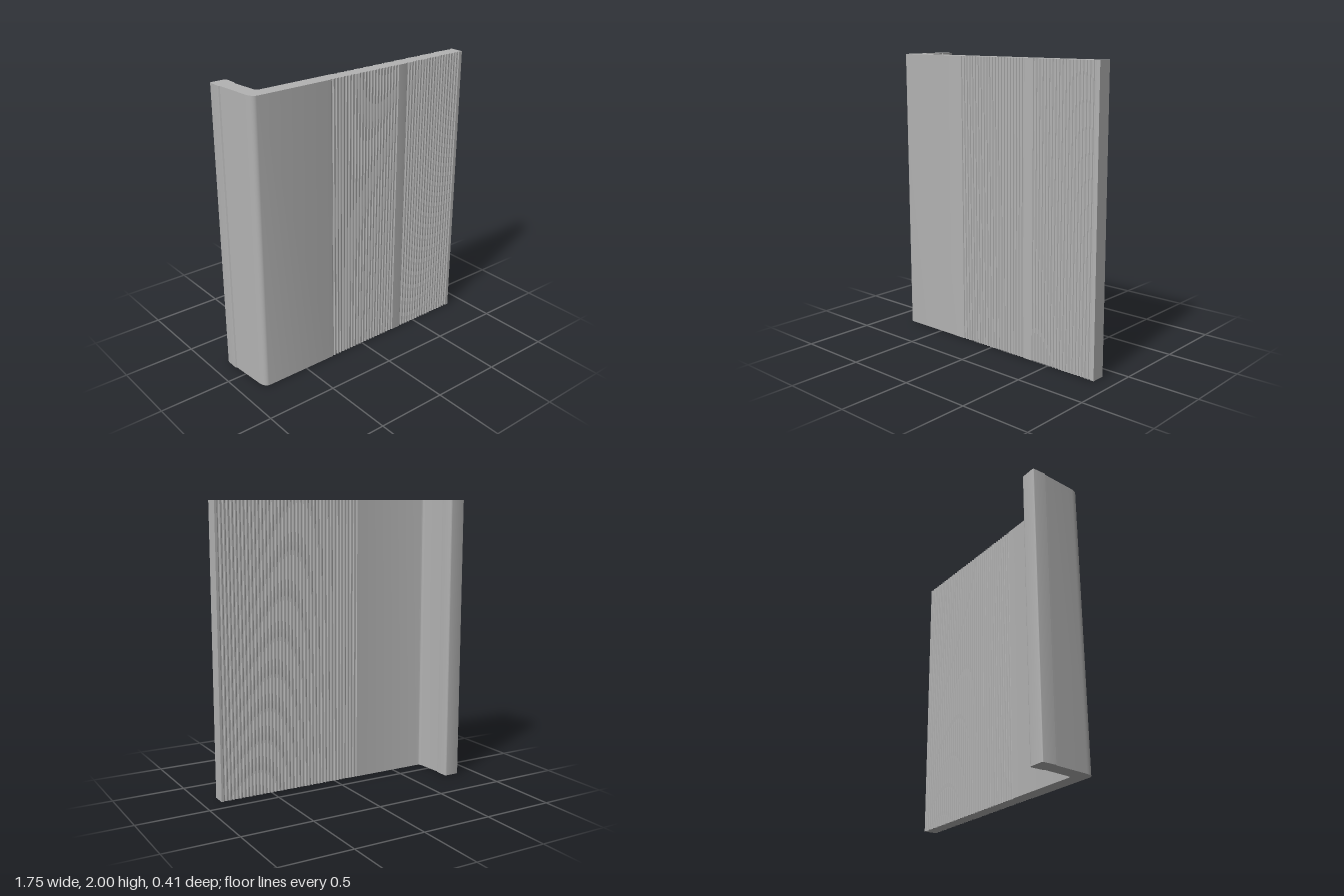
import * as THREE from 'three';
import { toCreasedNormals } from 'three/addons/utils/BufferGeometryUtils.js';

const HEIGHT = 2;
const FRONT = 0.206;  // z of the front face
const BACK = 0.108;   // z of the panel's back face
const PITCH = 0.026;
const DEPTH = 0.008;

export function createModel() {
  const group = new THREE.Group();
  group.name = 'ribbedAngleProfile';
  const grey = new THREE.MeshStandardMaterial({ color: 0xb3b3b3 });
  grey.name = 'grey';

  // Cross-section seen from above; shape y is -z
  const shape = new THREE.Shape();
  const line = (x, z) => shape.lineTo(x, -z);
  const round = (cx, cz, x, z) => shape.quadraticCurveTo(cx, -cz, x, -z);

  // Row of small scalloped grooves cut into a face, inward = direction of z
  const grooves = (x0, x1, z, inward) => {
    const count = Math.round(Math.abs(x1 - x0) / PITCH);
    const step = (x1 - x0) / count;
    for (let i = 0; i < count; i++) {
      const x = x0 + i * step;
      line(x + step * 0.15, z);
      for (const [t, d] of [[0.28, 0.75], [0.5, 1], [0.72, 0.75], [0.85, 0]]) {
        line(x + step * t, z + inward * DEPTH * d);
      }
    }
    line(x1, z);
  };

  // Front face: plain area, two grooved bands and a flat strip between them
  shape.moveTo(-0.8, -FRONT);
  line(-0.27, FRONT);
  grooves(-0.27, 0.295, FRONT, -1);
  line(0.36, FRONT);
  grooves(0.36, 0.85, FRONT, -1);
  line(0.873, FRONT);

  // Free edge and grooved back face
  line(0.873, BACK);
  line(0.86, BACK);
  grooves(0.86, -0.19, BACK, 1);
  line(-0.73, BACK);

  // Inner fillet, leg and its thicker rounded lip
  round(-0.748, BACK, -0.751, 0.083);
  line(-0.766, -0.1);
  line(-0.759, -0.106);
  line(-0.759, -0.192);
  round(-0.759, -0.206, -0.772, -0.206);
  line(-0.862, -0.206);
  round(-0.875, -0.206, -0.875, -0.192);
  line(-0.875, -0.106);
  line(-0.867, -0.1);

  // Outer side of the leg and the rounded corner
  line(-0.848, 0.145);
  round(-0.841, FRONT, -0.8, FRONT);

  const extruded = new THREE.ExtrudeGeometry(shape, {
    depth: HEIGHT, bevelEnabled: false, curveSegments: 8,
  });
  extruded.rotateX(-Math.PI / 2);
  const panel = new THREE.Mesh(toCreasedNormals(extruded, 0.5), grey);
  panel.name = 'ribbedPanelWithLeg';
  group.add(panel);
  return group;
}
